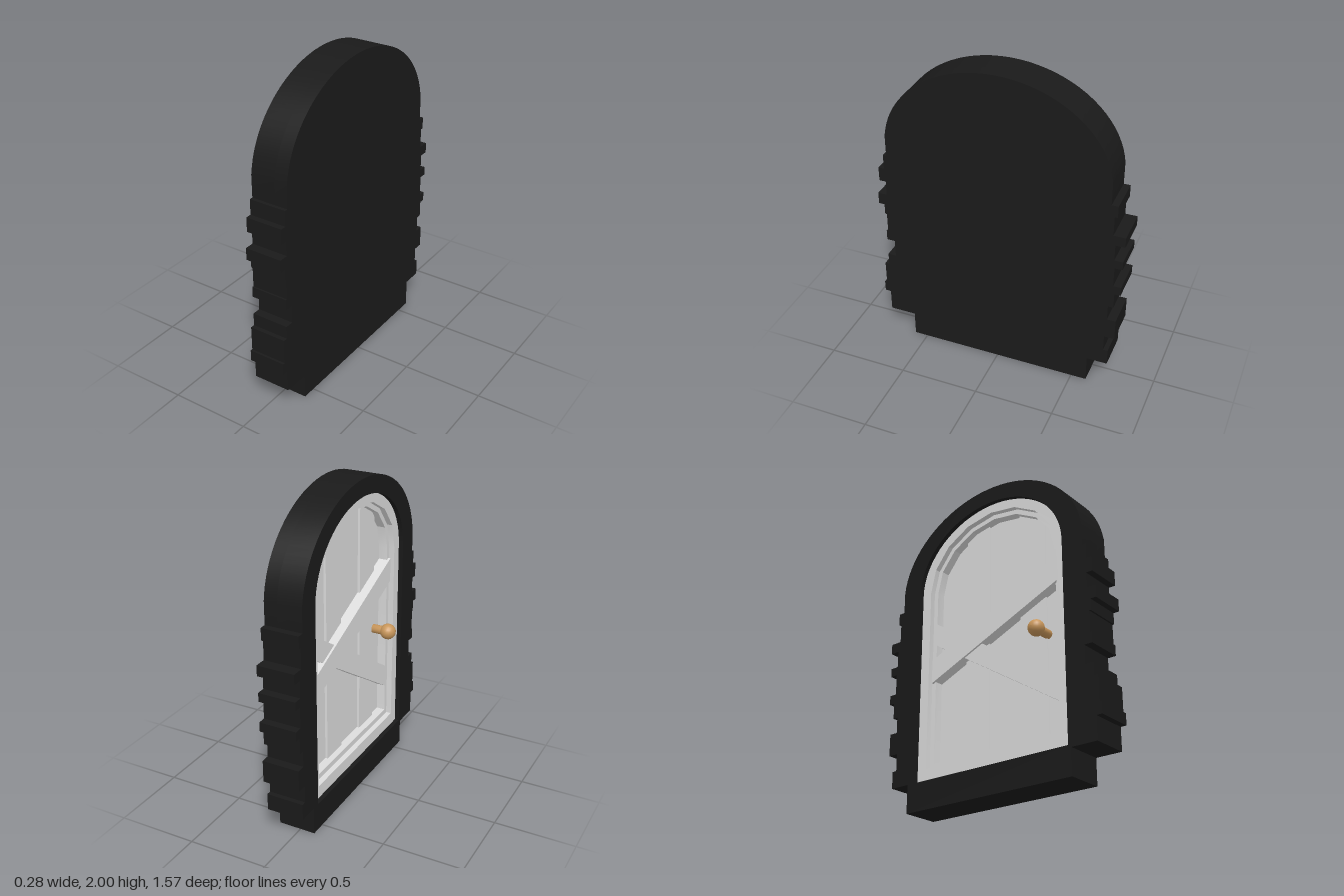
import * as THREE from 'three';
import { toCreasedNormals } from 'three/addons/utils/BufferGeometryUtils.js';

export function createModel() {
  const group = new THREE.Group();
  const material = (name, color) => {
    const m = new THREE.MeshStandardMaterial({ color });
    m.name = name;
    return m;
  };
  const stone = material('dark stone', 0x1a1a1a);
  const wood = material('pale grey wood', 0xdcdcdc);
  const brass = material('brass', 0xc8965a);

  const SPRING = 1.43; // height where the arches begin
  const MID = 0.01; // the doorway sits slightly off centre
  // points over an elliptical arch, from +w to -w
  const archTop = (w, ry, n) => Array.from({ length: n + 1 }, (_, i) => {
    const a = (Math.PI * i) / n;
    return [MID + w * Math.cos(a), SPRING + ry * Math.sin(a)];
  });
  const archway = (w, bottom, ry, n) => [[MID - w, bottom], [MID + w, bottom], ...archTop(w, ry, n)];
  const vectors = (pts) => pts.map(([z, y]) => new THREE.Vector2(z, y));

  // plate drawn in (z, y), filling x from its back to its front; the door faces -x
  function plate(name, pts, back, front, mat, hole) {
    const shape = new THREE.Shape(vectors(pts));
    if (hole) shape.holes.push(new THREE.Path(vectors(hole)));
    let geo = new THREE.ExtrudeGeometry(shape, { depth: back - front, bevelEnabled: false });
    geo.rotateY(-Math.PI / 2);
    geo = toCreasedNormals(geo, 0.25);
    const mesh = new THREE.Mesh(geo, mat);
    mesh.name = name;
    mesh.position.x = back;
    group.add(mesh);
  }

  // stone courses: [distance from the middle, bottom, top], listed upwards
  const leftCourses = [
    [0.585, 0, 0.16], [0.75, 0.16, 0.3], [0.787, 0.3, 0.37], [0.772, 0.37, 0.525],
    [0.745, 0.525, 0.605], [0.692, 0.605, 0.72], [0.744, 0.72, 0.785], [0.733, 0.785, 0.915],
    [0.744, 0.915, 0.985], [0.781, 0.985, 1.06], [0.723, 1.06, 1.155], [0.765, 1.155, 1.245],
    [0.728, 1.245, 1.34], [0.706, 1.34, 1.48],
  ];
  const rightCourses = [
    [0.597, 0, 0.175], [0.725, 0.175, 0.28], [0.696, 0.28, 0.387], [0.76, 0.387, 0.525],
    [0.706, 0.525, 0.625], [0.739, 0.625, 0.726], [0.776, 0.726, 0.785], [0.728, 0.785, 0.915],
    [0.776, 0.915, 0.97], [0.723, 0.97, 1.075], [0.781, 1.075, 1.14], [0.707, 1.14, 1.265],
    [0.725, 1.265, 1.34], [0.684, 1.34, 1.48],
  ];
  const steps = (courses, side) => courses.flatMap(([w, lo, hi]) => [[side * w, lo], [side * w, hi]]);
  const outline = [
    ...steps(leftCourses, 1),
    ...archTop(0.697, 0.57, 40).filter(([, y]) => y > 1.49),
    ...steps(rightCourses, -1).reverse(),
  ];

  // surround with a recess closed by a back wall
  const opening = archway(0.555, 0.175, 0.465, 32);
  plate('stoneSurround', outline, 0.06, -0.094, stone, opening);
  plate('backWall', outline, 0.141, 0.06, stone);

  // stepped door frame
  const frameInner = archway(0.49, 0.255, 0.41, 8);
  const trimInner = archway(0.46, 0.29, 0.38, 8);
  plate('doorFrame', opening, 0.06, -0.065, wood, frameInner);
  plate('innerTrim', frameInner, 0.06, -0.03, wood, trimInner);

  // planks, alternately low and raised, with tops following the arch
  const edges = [-0.485, -0.25, -0.07, 0.17, 0.36, 0.485];
  for (let i = 0; i < 5; i++) {
    const a = edges[i], b = edges[i + 1];
    const pts = [[MID + a, 0.24], [MID + b, 0.24]];
    for (let k = 0; k <= 4; k++) {
      const z = b + ((a - b) * k) / 4;
      pts.push([MID + z, SPRING + 0.42 * Math.sqrt(1 - (z / 0.52) ** 2)]);
    }
    plate('plank' + (i + 1), pts, 0.06, i % 2 ? 0.01 : 0.025, wood);
  }

  // crossed braces with upright ends
  const brace = (name, y0, y1, h, front) => plate(name, [
    [MID - 0.48, y0 - h], [MID + 0.48, y1 - h], [MID + 0.48, y1 + h], [MID - 0.48, y0 + h],
  ], 0.04, front, wood);
  brace('lowerBrace', 1.15, 0.53, 0.073, -0.032);
  brace('upperBrace', 0.885, 1.285, 0.076, -0.045);

  // knob: straight stem and ball
  const profile = [[0, 0], [0.028, 0]];
  for (let i = 0; i <= 10; i++) {
    const a = -0.98 + ((Math.PI / 2 + 0.98) * i) / 10;
    profile.push([Math.max(0, 0.05 * Math.cos(a)), 0.12 + 0.05 * Math.sin(a)]);
  }
  const knob = new THREE.Mesh(new THREE.LatheGeometry(vectors(profile), 20), brass);
  knob.name = 'doorKnob';
  knob.rotation.z = Math.PI / 2;
  knob.position.set(0.027, 0.918, 0.37);
  group.add(knob);

  return group;
}
